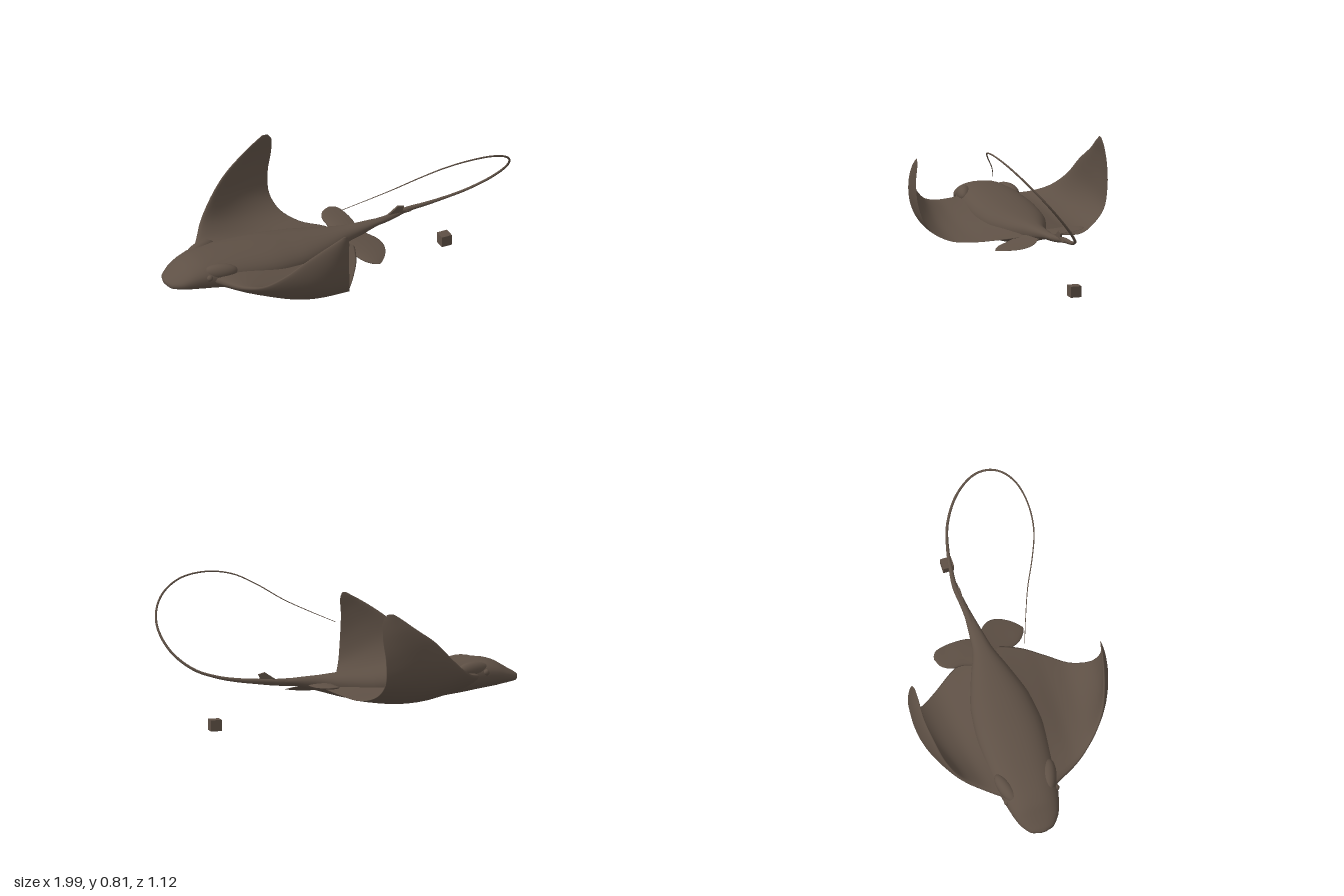
import * as THREE from 'three';

const V = (x, y, z) => new THREE.Vector3(x, y, z);

// Skin closed rings of points into one smooth surface, with both ends capped
function loft(rings) {
  const n = rings[0].length, pos = [], idx = [];
  rings.forEach(r => r.forEach(p => pos.push(p.x, p.y, p.z)));
  const last = (rings.length - 1) * n;
  for (let i = 0; i < rings.length - 1; i++) {
    for (let j = 0; j < n; j++) {
      const a = i * n + j, c = i * n + (j + 1) % n;
      idx.push(a, a + n, c, a + n, c + n, c);
    }
  }
  [0, rings.length - 1].forEach(k => {
    const mid = V(0, 0, 0);
    rings[k].forEach(p => mid.addScaledVector(p, 1 / n));
    pos.push(mid.x, mid.y, mid.z);
  });
  const c0 = rings.length * n;
  for (let j = 0; j < n; j++) {
    const k = (j + 1) % n;
    idx.push(c0, j, k, c0 + 1, last + k, last + j);
  }
  const g = new THREE.BufferGeometry();
  g.setAttribute('position', new THREE.Float32BufferAttribute(pos, 3));
  g.setIndex(idx);
  g.computeVertexNormals();
  return g;
}

// Fin from stations of [leading point, trailing point, thickness, camber], ordered along +z
function finGeometry(stations, steps, half = 16) {
  const lead = new THREE.CatmullRomCurve3(stations.map(s => V(...s[0])));
  const trail = new THREE.CatmullRomCurve3(stations.map(s => V(...s[1])));
  const shape = new THREE.CatmullRomCurve3(stations.map(s => V(s[2], s[3], 0)));
  const centre = t => lead.getPoint(t).add(trail.getPoint(t)).multiplyScalar(0.5);
  const rings = [];
  for (let i = 0; i <= steps; i++) {
    const t = i / steps, L = lead.getPoint(t), T = trail.getPoint(t), s = shape.getPoint(t);
    const span = centre(Math.min(1, t + 0.01)).sub(centre(Math.max(0, t - 0.01)));
    const up = span.cross(T.clone().sub(L)).normalize();
    const ring = [];
    for (let j = 0; j < half * 2; j++) {
      const upper = j <= half;
      const w = upper ? j / half : 2 - j / half;
      const u = w * w * (3 - 2 * w);
      const thick = s.x * (0.5 * 2.6 * Math.sqrt(u) * (1 - u)) * (upper ? 1 : -1);
      ring.push(L.clone().lerp(T, u).addScaledVector(up, thick - s.y * Math.sin(Math.PI * u)));
    }
    rings.push(ring);
  }
  return loft(rings);
}

export function createModel() {
  const group = new THREE.Group();
  const skin = new THREE.MeshStandardMaterial({ color: 0x5e5045 });
  skin.name = 'brown skin';
  const add = (name, geometry) => {
    const m = new THREE.Mesh(geometry, skin);
    m.name = name;
    group.add(m);
    return m;
  };

  // Wings, one sheet from the right tip to the left tip
  add('wings', finGeometry([
    [[-0.17, 0.685, -0.52], [-0.135, 0.683, -0.52], 0.004, 0],
    [[-0.21, 0.66, -0.518], [-0.11, 0.645, -0.525], 0.012, 0.004],
    [[-0.30, 0.595, -0.515], [-0.105, 0.55, -0.54], 0.02, 0.012],
    [[-0.42, 0.51, -0.49], [-0.12, 0.42, -0.55], 0.03, 0.02],
    [[-0.52, 0.41, -0.455], [-0.12, 0.29, -0.53], 0.04, 0.03],
    [[-0.61, 0.33, -0.39], [-0.09, 0.215, -0.46], 0.05, 0.04],
    [[-0.68, 0.285, -0.3], [-0.02, 0.18, -0.36], 0.07, 0.045],
    [[-0.75, 0.26, -0.2], [0.07, 0.2, -0.22], 0.11, 0.04],
    [[-0.82, 0.25, -0.05], [0.13, 0.22, -0.04], 0.17, 0.025],
    [[-0.74, 0.26, 0.15], [0.08, 0.2, 0.15], 0.11, 0.04],
    [[-0.68, 0.275, 0.26], [0, 0.18, 0.28], 0.07, 0.045],
    [[-0.6, 0.315, 0.36], [-0.08, 0.18, 0.39], 0.05, 0.04],
    [[-0.5, 0.41, 0.45], [-0.13, 0.24, 0.49], 0.04, 0.03],
    [[-0.4, 0.5, 0.495], [-0.155, 0.36, 0.54], 0.03, 0.02],
    [[-0.29, 0.575, 0.525], [-0.165, 0.5, 0.553], 0.02, 0.01],
    [[-0.22, 0.615, 0.538], [-0.16, 0.6, 0.547], 0.012, 0.004],
    [[-0.19, 0.632, 0.543], [-0.17, 0.63, 0.545], 0.004, 0],
  ], 80));

  // Body and head: x, centre z, half width, top, bottom
  const sections = [
    [-1, -0.05, 0.02, 0.24, 0.222], [-0.985, -0.05, 0.065, 0.253, 0.207], [-0.93, -0.05, 0.11, 0.285, 0.197],
    [-0.87, -0.05, 0.133, 0.32, 0.185], [-0.8, -0.05, 0.15, 0.34, 0.175], [-0.65, -0.05, 0.175, 0.343, 0.153],
    [-0.4, -0.045, 0.19, 0.33, 0.123], [-0.2, -0.045, 0.17, 0.31, 0.121], [-0.02, -0.045, 0.11, 0.292, 0.15],
    [0.12, -0.045, 0.055, 0.28, 0.19], [0.28, -0.055, 0.028, 0.272, 0.232], [0.38, -0.062, 0.015, 0.265, 0.242],
  ];
  const middle = new THREE.CatmullRomCurve3(sections.map(s => V(s[0], (s[3] + s[4]) / 2, s[1])));
  const size = new THREE.CatmullRomCurve3(sections.map(s => V(s[2], (s[3] - s[4]) / 2, 0)));
  const soft = v => Math.sign(v) * Math.abs(v) ** 0.88;
  const bodyRings = [];
  for (let i = 0; i <= 50; i++) {
    const c = middle.getPoint(i / 50), s = size.getPoint(i / 50);
    bodyRings.push(Array.from({ length: 32 }, (_, j) => {
      const a = j / 32 * Math.PI * 2;
      return V(c.x, c.y + s.y * soft(Math.sin(a)), c.z + s.x * soft(Math.cos(a)));
    }));
  }
  add('body', loft(bodyRings));

  // Eye ridges on both sides of the head
  for (const side of [-1, 1]) {
    const ridge = add(side > 0 ? 'leftEyeRidge' : 'rightEyeRidge', new THREE.SphereGeometry(1, 24, 16));
    ridge.scale.set(0.1, 0.045, 0.04);
    ridge.position.set(-0.72, 0.292, -0.05 + side * 0.125);
    ridge.rotation.y = -side * 0.3;
    const eye = add(side > 0 ? 'leftEye' : 'rightEye', new THREE.SphereGeometry(0.018, 16, 12));
    eye.position.set(-0.79, 0.277, -0.05 + side * 0.142);
  }

  // Pelvic fins
  add('leftPelvicFin', finGeometry([
    [[0.02, 0.21, -0.02], [0.22, 0.225, -0.03], 0.04, 0],
    [[0.05, 0.2, 0.04], [0.275, 0.2, 0.03], 0.035, 0],
    [[0.09, 0.187, 0.11], [0.282, 0.185, 0.09], 0.028, 0],
    [[0.12, 0.177, 0.17], [0.25, 0.175, 0.16], 0.02, 0],
    [[0.16, 0.17, 0.205], [0.215, 0.17, 0.2], 0.012, 0],
    [[0.185, 0.168, 0.216], [0.2, 0.168, 0.214], 0.004, 0],
  ], 20, 10));
  add('rightPelvicFin', finGeometry([
    [[0.135, 0.25, -0.316], [0.155, 0.25, -0.314], 0.004, 0],
    [[0.09, 0.247, -0.295], [0.18, 0.25, -0.295], 0.012, 0],
    [[0.06, 0.24, -0.24], [0.198, 0.245, -0.24], 0.02, 0],
    [[0.06, 0.23, -0.17], [0.205, 0.24, -0.16], 0.03, 0],
    [[0.04, 0.22, -0.1], [0.2, 0.235, -0.1], 0.035, 0],
    [[0.02, 0.21, -0.04], [0.18, 0.23, -0.05], 0.04, 0],
  ], 20, 10));

  // Tail whip, curling in a slanted plane: x and y, with z rising with y
  const whip = [
    [0.5, 0.268], [0.6, 0.278], [0.7, 0.295], [0.83, 0.338], [0.94, 0.43], [0.988, 0.55], [0.967, 0.65],
    [0.9, 0.73], [0.79, 0.788], [0.64, 0.81], [0.5, 0.792], [0.38, 0.738], [0.24, 0.655], [0.1, 0.59], [-0.025, 0.537],
  ].map(([x, y]) => V(x, y, -0.078 + (y - 0.27) * 0.87));
  const path = new THREE.CatmullRomCurve3([V(0.1, 0.245, -0.045), V(0.25, 0.25, -0.055), V(0.38, 0.255, -0.065), ...whip]);
  const N = 140, frames = path.computeFrenetFrames(N);
  const tailRings = [];
  for (let i = 0; i <= N; i++) {
    const t = i / N, c = path.getPointAt(t);
    const r = 0.0015 + 0.009 * (1 - t) + 0.019 * Math.max(0, 1 - t / 0.28) ** 1.3;
    tailRings.push(Array.from({ length: 10 }, (_, j) => {
      const a = j / 10 * Math.PI * 2;
      return c.clone().addScaledVector(frames.binormals[i], r * Math.cos(a))
        .addScaledVector(frames.normals[i], r * Math.sin(a));
    }));
  }
  add('tail', loft(tailRings));

  // Small dorsal fin on the tail
  const fin = new THREE.Shape([[0.35, 0.255], [0.52, 0.262], [0.465, 0.28], [0.475, 0.303], [0.44, 0.312], [0.4, 0.285]]
    .map(p => new THREE.Vector2(...p)));
  add('dorsalFin', new THREE.ExtrudeGeometry(fin, {
    depth: 0.006, bevelSize: 0.002, bevelThickness: 0.003, bevelSegments: 2,
  })).position.z = -0.07;

  // Loose cube below the tail
  add('cube', new THREE.BoxGeometry(0.062, 0.062, 0.062)).position.set(0.72, 0.031, -0.055);

  return group;
}
